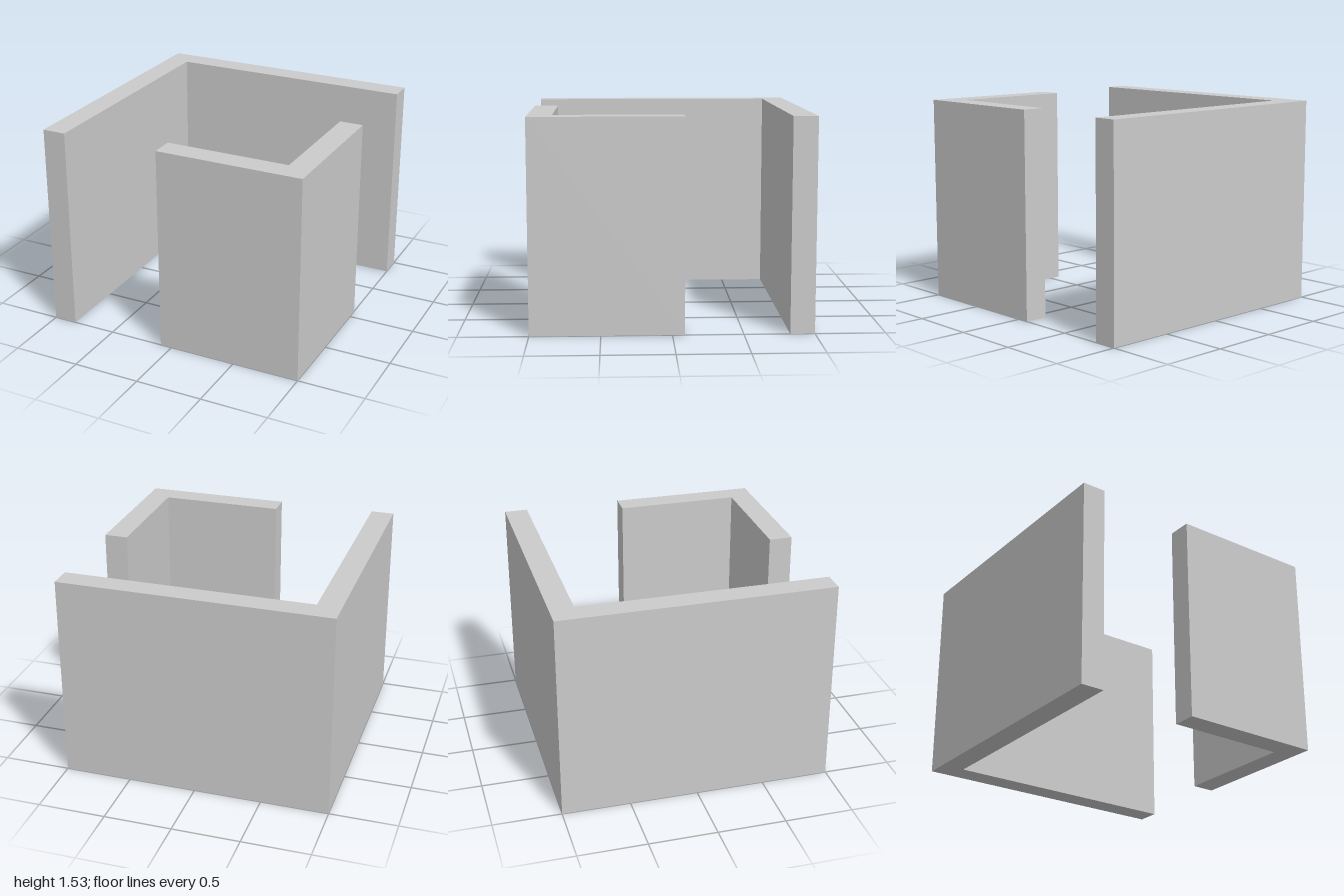
import * as THREE from 'three';

const HEIGHT = 1.527;
const THICKNESS = 0.174;

// L-shaped wall with its outer corner at the back right (-x, -z)
function cornerWall(name, length, material) {
  const a = -1, b = a + THICKNESS, c = a + length;
  const plan = new THREE.Shape(
    [[a, -a], [a, -c], [b, -c], [b, -b], [c, -b], [c, -a]].map(([x, y]) => new THREE.Vector2(x, y))
  );
  const geometry = new THREE.ExtrudeGeometry(plan, { depth: HEIGHT, bevelEnabled: false });
  geometry.rotateX(-Math.PI / 2); // plan lies on the ground, walls rise along y
  const wall = new THREE.Mesh(geometry, material);
  wall.name = name;
  return wall;
}

export function createModel() {
  const model = new THREE.Group();
  model.name = 'cornerWalls';
  const material = new THREE.MeshStandardMaterial({ color: 0xcccccc, flatShading: true });

  // Long wall around the back and right sides
  model.add(cornerWall('longCornerWall', 2, material));

  // Short wall in the opposite corner, turned half way round
  const shortWall = cornerWall('shortCornerWall', 1.088, material);
  shortWall.rotation.y = Math.PI;
  model.add(shortWall);

  return model;
}
